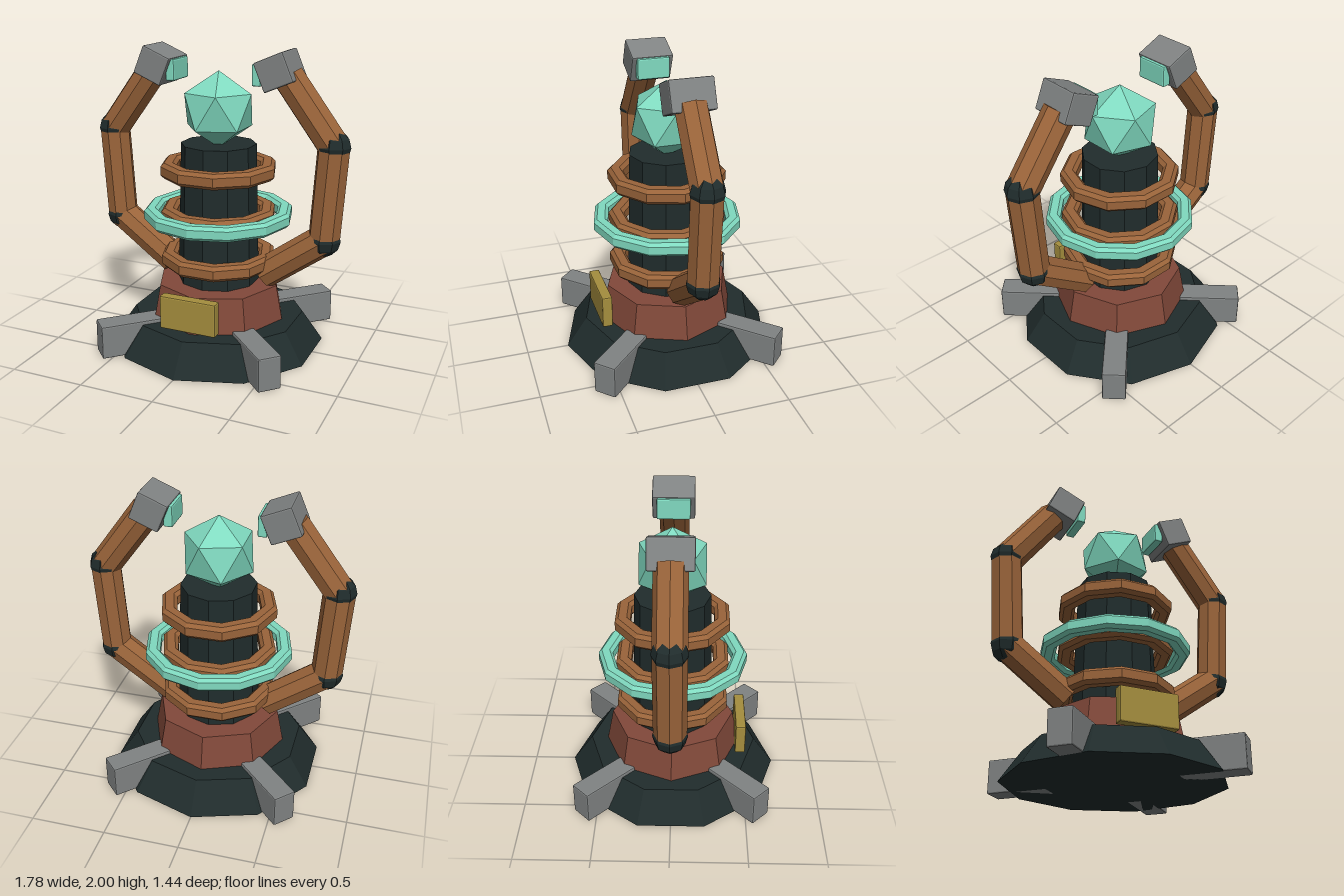
import * as THREE from 'three';
import { RoundedBoxGeometry } from 'three/addons/geometries/RoundedBoxGeometry.js';

function flatMaterial(name, color) {
  const m = new THREE.MeshStandardMaterial({ color, flatShading: true });
  m.name = name;
  return m;
}

export function createModel() {
  const dark = flatMaterial('dark iron', 0x202c2c);
  const copper = flatMaterial('copper', 0x9a643a);
  const teal = flatMaterial('teal crystal', 0x80dac0);
  const red = flatMaterial('red brown', 0x82493a);
  const gold = flatMaterial('brass', 0xa58e3e);
  const gray = flatMaterial('gray steel', 0x808383);

  const model = new THREE.Group();
  model.name = 'energyCoil';

  const add = (parent, name, geometry, material, x = 0, y = 0, z = 0) => {
    const mesh = new THREE.Mesh(geometry, material);
    mesh.name = name;
    mesh.position.set(x, y, z);
    parent.add(mesh);
    return mesh;
  };
  const block = (w, h, d, bevel = 0.01) => new RoundedBoxGeometry(w, h, d, 1, bevel);

  // Stepped pedestal and column
  add(model, 'base', new THREE.CylinderGeometry(0.58, 0.72, 0.2, 10), dark, 0, 0.1, 0);
  add(model, 'collar', new THREE.CylinderGeometry(0.42, 0.465, 0.235, 8), red, 0, 0.3175, 0);
  add(model, 'column', new THREE.CylinderGeometry(0.25, 0.275, 0.945, 10), dark, 0, 0.9025, 0);
  add(model, 'frontPlate', block(0.39, 0.225, 0.07), gold, -0.002, 0.342, 0.472);

  // Diagonal feet
  for (let i = 0; i < 4; i++) {
    const a = Math.PI / 4 + i * Math.PI / 2;
    const foot = add(model, 'foot', block(0.155, 0.225, 0.42), gray,
      Math.sin(a) * 0.64, 0.1125, Math.cos(a) * 0.64);
    foot.rotation.y = a;
  }

  // Faceted rings with chamfered sections
  const ring = (name, y, outer, r, segments, material) => {
    const c = r * 0.55, mid = outer - r;
    const section = [[r, -c], [r, c], [c, r], [-c, r], [-r, c], [-r, -c], [-c, -r], [c, -r], [r, -c]]
      .map(([u, v]) => new THREE.Vector2(mid + u, v));
    add(model, name, new THREE.LatheGeometry(section, segments, Math.PI / 2), material, 0, y, 0);
  };
  ring('lowerRing', 0.592, 0.39, 0.052, 10, copper);
  ring('middleRing', 0.899, 0.39, 0.052, 10, copper);
  ring('upperRing', 1.206, 0.39, 0.052, 10, copper);
  ring('glowRing', 0.898, 0.5, 0.048, 12, teal);

  // Crystal standing on one point
  const crystal = new THREE.IcosahedronGeometry(0.253, 0);
  crystal.rotateX(-Math.atan((1 + Math.sqrt(5)) / 2));
  crystal.rotateY(Math.PI / 2);
  add(model, 'crystal', crystal, teal, 0, 1.597, 0);

  // Bent arms with joints, clamp heads and glowing pads
  const path = [[0.335, 0.515], [0.737, 0.805], [0.778, 1.42], [0.47, 1.835]];
  for (const side of [1, -1]) {
    const arm = new THREE.Group();
    arm.name = side > 0 ? 'leftArm' : 'rightArm';
    model.add(arm);
    const points = path.map(([x, y]) => new THREE.Vector3(side * x, y, 0));
    for (let i = 0; i < 3; i++) {
      const dir = points[i + 1].clone().sub(points[i]);
      const middle = points[i].clone().add(points[i + 1]).multiplyScalar(0.5);
      const tube = add(arm, 'armSegment',
        new THREE.CylinderGeometry(0.104, 0.104, dir.length(), 8), copper, middle.x, middle.y, 0);
      tube.quaternion.setFromUnitVectors(new THREE.Vector3(0, 1, 0), dir.normalize());
    }
    for (const p of [points[1], points[2]]) {
      add(arm, 'joint', new THREE.SphereGeometry(0.11, 8, 6), dark, p.x, p.y, 0);
    }
    const clamp = add(arm, 'clamp', block(0.206, 0.195, 0.28), gray, side * 0.417, 1.874, 0);
    clamp.rotation.z = side * 0.4;
    add(arm, 'glowPad', block(0.06, 0.14, 0.22), teal, side * 0.298, 1.848, 0);
  }

  return model;
}
